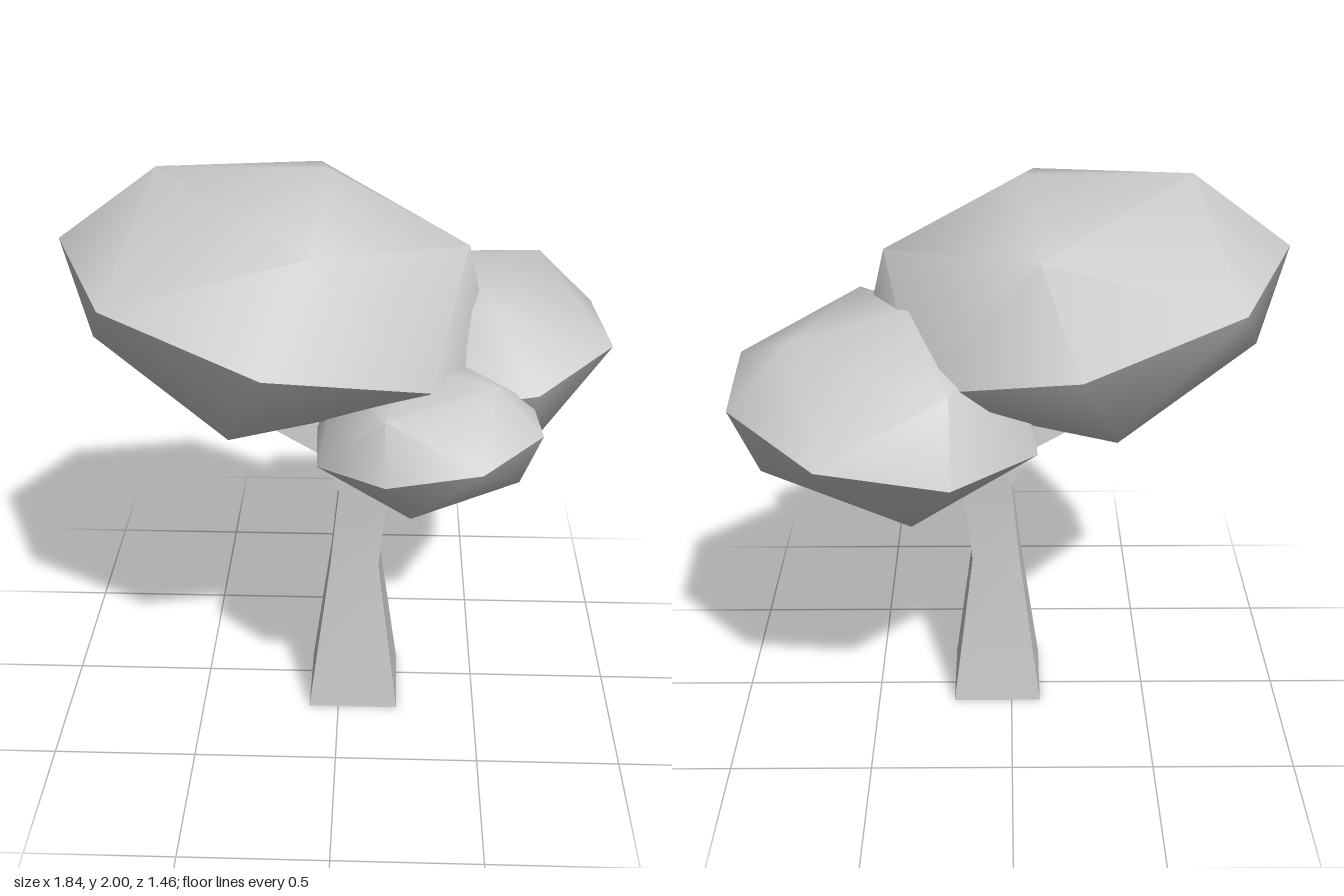
import * as THREE from 'three';
import { toCreasedNormals } from 'three/addons/utils/BufferGeometryUtils.js';

const foliageMaterial = new THREE.MeshStandardMaterial({ color: 0xcccccc });
const woodMaterial = new THREE.MeshStandardMaterial({ color: 0xcccccc });

// Leaf clump: once-divided octahedron, tilted and skewed along three half axes.
function clump(name, centre, a, up, b) {
  const v = (p) => new THREE.Vector3(...p);
  const matrix = new THREE.Matrix4().makeBasis(v(a), v(up), v(b)).setPosition(v(centre));
  const ball = new THREE.OctahedronGeometry(1, 1).applyMatrix4(matrix);
  const mesh = new THREE.Mesh(toCreasedNormals(ball, 0.92), foliageMaterial);
  mesh.name = name;
  return mesh;
}

// Four-sided limb through sections [leftX, leftY, rightX, rightY, halfDepth].
function limb(name, sections) {
  const zMid = 0.05;
  const points = [];
  const index = [];
  for (const [lx, ly, rx, ry, d] of sections) {
    points.push(lx, ly, zMid + d, rx, ry, zMid + d, rx, ry, zMid - d, lx, ly, zMid - d);
  }
  for (let s = 0; s < sections.length - 1; s++) {
    for (let i = 0; i < 4; i++) {
      const p = s * 4 + i;
      const q = s * 4 + ((i + 1) % 4);
      index.push(p, q, q + 4, p, q + 4, p + 4);
    }
  }
  // End caps
  const t = (sections.length - 1) * 4;
  index.push(0, 2, 1, 0, 3, 2, t, t + 1, t + 2, t, t + 2, t + 3);

  const geometry = new THREE.BufferGeometry();
  geometry.setAttribute('position', new THREE.Float32BufferAttribute(points, 3));
  geometry.setIndex(index);
  const mesh = new THREE.Mesh(toCreasedNormals(geometry, 0.6), woodMaterial);
  mesh.name = name;
  return mesh;
}

export function createModel() {
  const tree = new THREE.Group();
  tree.name = 'tree';

  // Trunk flares at the ground and leans into the right-hand clumps
  tree.add(limb('trunk', [
    [-0.107, 0, 0.215, 0, 0.162],
    [-0.03, 0.58, 0.142, 0.58, 0.087],
    [0, 0.88, 0.17, 0.88, 0.086],
    [0.05, 1.05, 0.2, 1.02, 0.086],
    [0.2, 1.2, 0.34, 1.15, 0.06],
  ]));

  // Side branch reaching under the large clump
  tree.add(limb('branch', [
    [0, 0.88, 0.14, 0.98, 0.085],
    [-0.06, 1.02, 0.055, 1.05, 0.08],
    [-0.23, 1.11, -0.1, 1.145, 0.06],
    [-0.28, 1.18, -0.15, 1.18, 0.055],
    [-0.28, 1.22, -0.15, 1.22, 0.05],
  ]));

  // Three leaf clumps: centre, then the half axes
  tree.add(clump('largeClump', [-0.207, 1.578, 0.025],
    [0.715, -0.18, 0], [0.177, 0.422, 0], [0, 0, 0.695]));
  tree.add(clump('middleClump', [0.42, 1.3, -0.205],
    [0.48, 0.075, -0.225], [-0.09, 0.33, -0.02], [0.23, 0.05, 0.525]));
  tree.add(clump('smallClump', [0.29, 1.23, 0.345],
    [0.36, 0.07, 0.155], [-0.06, 0.23, -0.015], [-0.13, 0, 0.375]));

  return tree;
}
